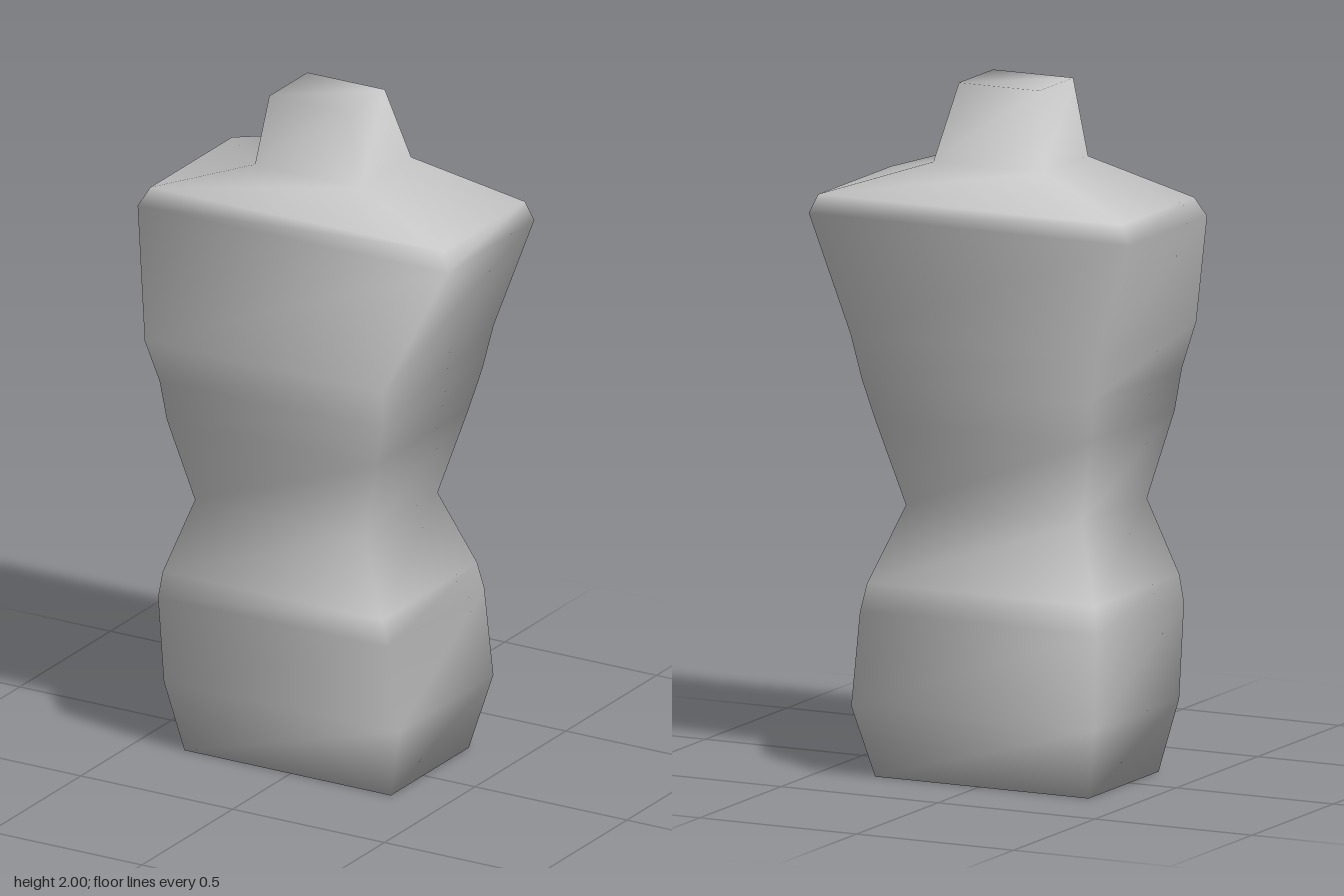
import * as THREE from 'three';

// Cross-sections from hem to neck: [y, xMin, xMax, zBack, zFront]
const SECTIONS = [
  [0.00, -0.35, 0.33, -0.25, 0.18],  // hem
  [0.21, -0.40, 0.375, -0.31, 0.21], // seat
  [0.48, -0.395, 0.36, -0.285, 0.25],
  [0.56, -0.38, 0.345, -0.27, 0.25], // hips
  [0.78, -0.30, 0.26, -0.195, 0.205], // waist
  [1.03, -0.36, 0.33, -0.25, 0.26],
  [1.15, -0.375, 0.36, -0.275, 0.275],
  [1.28, -0.40, 0.385, -0.295, 0.315], // bust
  [1.62, -0.51, 0.51, -0.31, 0.17],  // shoulder edge
  [1.675, -0.48, 0.485, -0.30, 0.15],
  [1.78, -0.18, 0.17, -0.20, 0.075], // neck base
  [2.00, -0.13, 0.125, -0.13, 0.08], // neck top
];

// Four-sided loft with shared corners, so the normals stay smooth throughout
function loft(sections) {
  const positions = [];
  const index = [];
  for (const [y, x0, x1, z0, z1] of sections) {
    positions.push(x0, y, z1, x1, y, z1, x1, y, z0, x0, y, z0);
  }
  for (let r = 0; r < sections.length - 1; r++) {
    for (let i = 0; i < 4; i++) {
      const a = r * 4 + i;
      const b = r * 4 + ((i + 1) % 4);
      index.push(a, b, b + 4, a, b + 4, a + 4);
    }
  }
  // Bottom and neck caps
  const t = (sections.length - 1) * 4;
  index.push(0, 2, 1, 0, 3, 2, t, t + 1, t + 2, t, t + 2, t + 3);

  const geometry = new THREE.BufferGeometry();
  geometry.setAttribute('position', new THREE.Float32BufferAttribute(positions, 3));
  geometry.setIndex(index);
  geometry.computeVertexNormals();
  return geometry;
}

export function createModel() {
  const group = new THREE.Group();
  group.name = 'dressForm';
  const material = new THREE.MeshStandardMaterial({ color: 0xcccccc });
  const torso = new THREE.Mesh(loft(SECTIONS), material);
  torso.name = 'torso';
  group.add(torso);
  return group;
}
